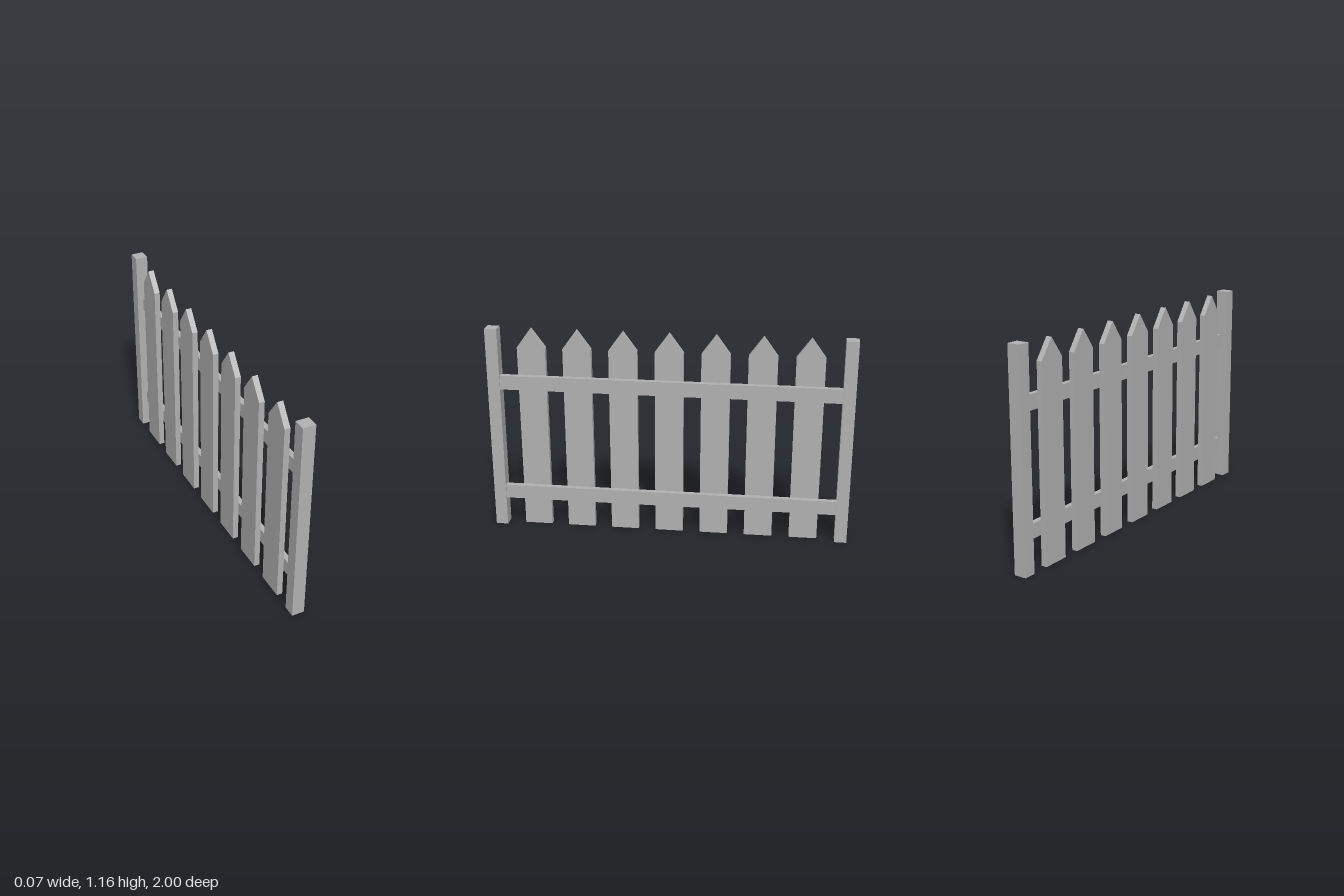
import * as THREE from 'three';

export function createModel() {
  const fence = new THREE.Group();
  fence.name = 'picketFence';
  const paint = new THREE.MeshStandardMaterial({ color: 0xb2b2b2 });
  paint.name = 'grey paint';

  function add(name, geometry, x, y, z) {
    const mesh = new THREE.Mesh(geometry, paint);
    mesh.name = name;
    mesh.position.set(x, y, z);
    fence.add(mesh);
  }

  // End posts
  const postGeometry = new THREE.BoxGeometry(0.07, 1.165, 0.068);
  add('frontPost', postGeometry, 0, 0.5825, 0.966);
  add('backPost', postGeometry, 0, 0.5825, -0.966);

  // Horizontal rails between the posts
  const railGeometry = new THREE.BoxGeometry(0.03, 0.08, 1.87);
  add('lowerRail', railGeometry, 0.015, 0.205, 0);
  add('upperRail', railGeometry, 0.015, 0.86, 0);

  // Pointed pickets on the -x side of the rails
  const half = 0.078;
  const outline = new THREE.Shape([
    new THREE.Vector2(-half, 0),
    new THREE.Vector2(half, 0),
    new THREE.Vector2(half, 1.055),
    new THREE.Vector2(0, 1.163),
    new THREE.Vector2(-half, 1.055),
  ]);
  const picketGeometry = new THREE.ExtrudeGeometry(outline, { depth: 0.032, bevelEnabled: false });
  picketGeometry.rotateY(-Math.PI / 2);
  for (let i = -3; i <= 3; i++) add('picket', picketGeometry, 0, 0, i * 0.252);

  return fence;
}
